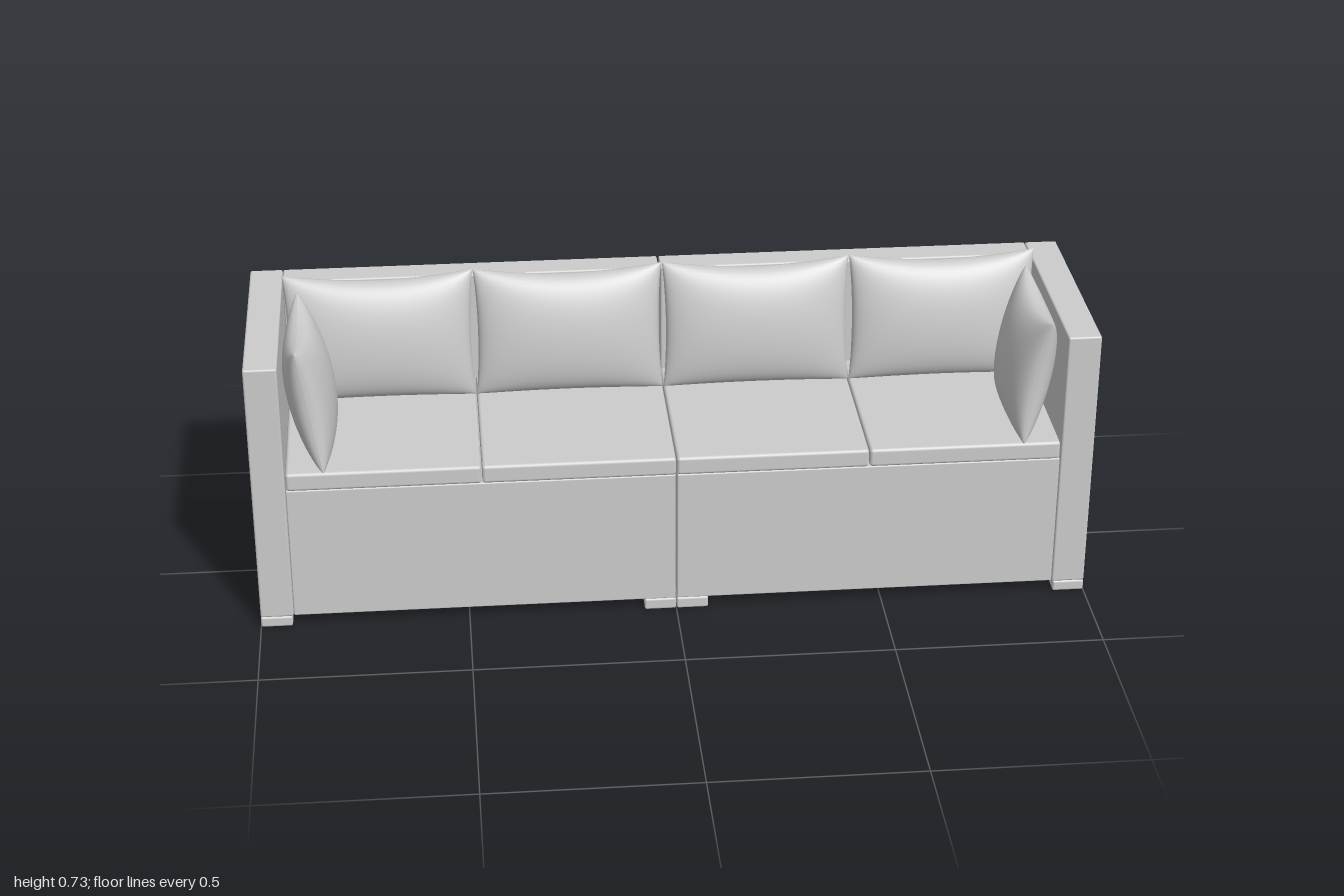
import * as THREE from 'three';
import { RoundedBoxGeometry } from 'three/addons/geometries/RoundedBoxGeometry.js';
import { mergeGeometries } from 'three/addons/utils/BufferGeometryUtils.js';

const fabric = new THREE.MeshStandardMaterial({ color: 0xcccccc });
fabric.name = 'light grey fabric';

// Softly rounded block given by its minimum and maximum corners
function block(name, x0, x1, y0, y1, z0, z1, radius = 0.005) {
  const geometry = new RoundedBoxGeometry(x1 - x0, y1 - y0, z1 - z0, 3, radius);
  const mesh = new THREE.Mesh(geometry, fabric);
  mesh.position.set((x0 + x1) / 2, (y0 + y1) / 2, (z0 + z1) / 2);
  mesh.name = name;
  return mesh;
}

// Knife-edge pillow: two bulging sheets meeting at a pinched seam
function pillowGeometry(width, height, thickness) {
  const sheets = [1, -1].map((side) => {
    const sheet = new THREE.PlaneGeometry(2, 2, 28, 28);
    if (side < 0) sheet.rotateY(Math.PI);
    const p = sheet.attributes.position;
    for (let i = 0; i < p.count; i++) {
      const u = Math.sin(p.getX(i) * Math.PI / 2);
      const v = Math.sin(p.getY(i) * Math.PI / 2);
      const a = Math.max(0, 1 - u * u);
      const b = Math.max(0, 1 - v * v);
      const sag = v > 0 ? 0.02 : 0.006;
      p.setXYZ(i,
        u * (width / 2 - 0.008 * b),
        v * (height / 2 - sag * a),
        side * thickness / 2 * Math.pow(a * b, 0.42));
    }
    sheet.computeVertexNormals();
    return sheet;
  });
  return mergeGeometries(sheets);
}

export function createModel() {
  const sofa = new THREE.Group();
  sofa.name = 'sofa';
  const lean = 0.16;
  const backPillow = pillowGeometry(0.458, 0.318, 0.122);
  const armPillow = pillowGeometry(0.325, 0.318, 0.115);

  function addPillow(name, geometry, x, z, turn) {
    const pillow = new THREE.Mesh(geometry, fabric);
    pillow.name = name;
    pillow.position.set(x, 0.572, z);
    pillow.rotation.set(-lean, turn, 0, 'YXZ');
    sofa.add(pillow);
  }

  for (const s of [-1, 1]) {
    const label = s > 0 ? 'left' : 'right';
    // Mirrors an x range to the current side
    const part = (name, a, b, ...rest) =>
      sofa.add(block(label + name, Math.min(s * a, s * b), Math.max(s * a, s * b), ...rest));

    // Frame: arm, base and back panel
    part('Arm', 0.921, 1, 0.027, 0.692, -0.27, 0.27);
    part('Base', 0.002, 0.92, 0.028, 0.369, -0.21, 0.267, 0.003);
    part('Back', 0.002, 0.92, 0.028, 0.692, -0.27, -0.2);

    // Runner feet at the outer end and beside the centre joint
    part('OuterFoot', 0.924, 1, 0, 0.027, -0.27, 0.27);
    part('InnerFoot', 0.001, 0.077, 0, 0.029, -0.27, 0.27);

    // Two seat cushions and back pillows per half
    for (const i of [0, 1]) {
      part('SeatCushion' + (i + 1), i * 0.46 + 0.001, i * 0.46 + 0.459,
        0.369, 0.415, -0.205, 0.27, 0.008);
      addPillow(label + 'BackPillow' + (i + 1), backPillow, s * (0.23 + i * 0.46), -0.127, 0);
    }

    // Pillow leaning on the arm, facing inward
    addPillow(label + 'ArmPillow', armPillow, s * 0.855, 0.107, -s * Math.PI / 2);
  }
  return sofa;
}
